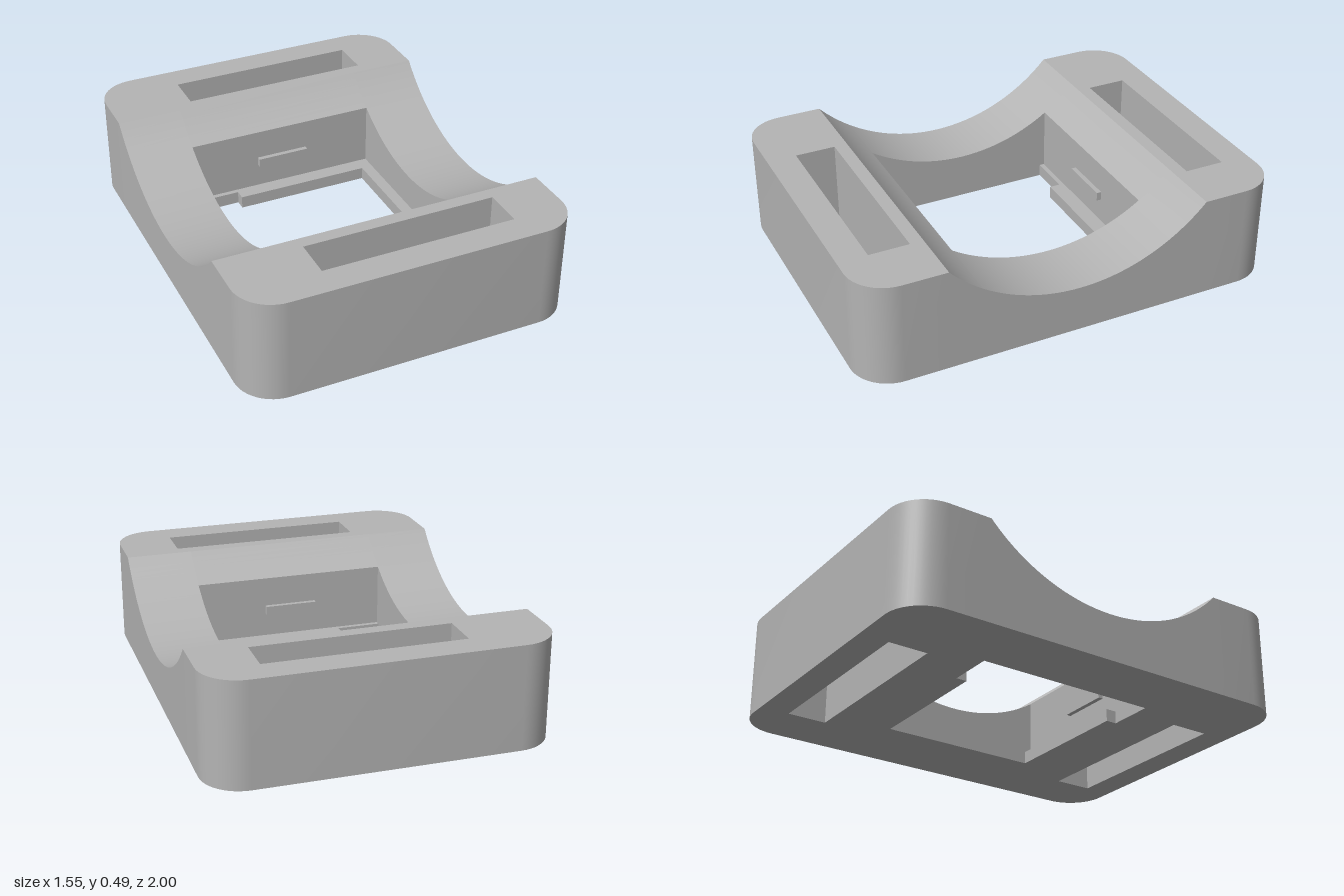
import * as THREE from 'three';
import { mergeGeometries, toCreasedNormals } from 'three/addons/utils/BufferGeometryUtils.js';

// Plan coordinates are (x, s) with s = -z, so counter-clockwise outlines face outwards.
const W = 0.773, L = 1, H = 0.485, CORNER = 0.18;
const SADDLE = 0.613, LOW = 0.22;
const R = (SADDLE ** 2 + (H - LOW) ** 2) / (2 * (H - LOW));
const POCKET = { x0: -0.465, x1: 0.46, s: 0.463 };

const topAt = s => Math.abs(s) >= SADDLE - 1e-6 ? H : LOW + R - Math.sqrt(R * R - s * s);

// Stations across the saddle, shared by every wall that meets it
const stations = [-POCKET.s, POCKET.s];
const sweep = Math.asin(SADDLE / R);
for (let i = 0; i <= 48; i++) stations.push(R * Math.sin(sweep * (i / 24 - 1)));
stations.sort((a, b) => a - b);

const rect = (x0, x1, s0, s1) => [[x0, s0], [x1, s0], [x1, s1], [x0, s1]];

function cornerArc(cx, cs, start) {
  const pts = [];
  for (let i = 0; i <= 12; i++) {
    const a = start + (i / 12) * Math.PI / 2;
    pts.push([cx + CORNER * Math.cos(a), cs + CORNER * Math.sin(a)]);
  }
  return pts;
}

const toVectors = pts => pts.map(p => new THREE.Vector2(p[0], p[1]));

function makeShape(outline, holes = []) {
  const shape = new THREE.Shape(toVectors(outline));
  holes.forEach(h => shape.holes.push(new THREE.Path(toVectors(h))));
  return shape;
}

function cap(outline, holes, y, up) {
  const g = new THREE.ShapeGeometry(makeShape(outline, holes)).toNonIndexed();
  g.deleteAttribute('uv');
  g.deleteAttribute('normal');
  // Turn the underside over by mirroring the plan, which is restored by its own rotation
  if (!up) {
    const p = g.attributes.position;
    for (let i = 0; i < p.count; i++) p.setY(i, -p.getY(i));
    g.rotateX(Math.PI / 2);
    const a = p.array;
    for (let i = 0; i < a.length; i += 9) {
      // keep the triangles facing down
      const ux = a[i + 3] - a[i], uz = a[i + 5] - a[i + 2];
      const vx = a[i + 6] - a[i], vz = a[i + 8] - a[i + 2];
      if (uz * vx - ux * vz > 0) {
        for (let k = 0; k < 3; k++) [a[i + 3 + k], a[i + 6 + k]] = [a[i + 6 + k], a[i + 3 + k]];
      }
    }
  } else g.rotateX(-Math.PI / 2);
  return g.translate(0, y, 0);
}

function quadGeometry(quads) {
  const v = [];
  for (const [a, b, c, d] of quads) v.push(...a, ...b, ...c, ...a, ...c, ...d);
  const g = new THREE.BufferGeometry();
  g.setAttribute('position', new THREE.Float32BufferAttribute(v, 3));
  return g;
}

// Vertical wall from the base up to the saddle height, following a closed outline
function wall(outline) {
  const quads = [];
  outline.forEach((a, i) => {
    const b = outline[(i + 1) % outline.length];
    const ts = stations.map(s => (s - a[1]) / (b[1] - a[1])).filter(t => t > 1e-5 && t < 1 - 1e-5);
    const cuts = [0, ...ts.sort((m, n) => m - n), 1];
    const at = t => [a[0] + (b[0] - a[0]) * t, a[1] + (b[1] - a[1]) * t];
    for (let k = 0; k + 1 < cuts.length; k++) {
      const [px, ps] = at(cuts[k]), [qx, qs] = at(cuts[k + 1]);
      quads.push([[px, 0, -ps], [qx, 0, -qs], [qx, topAt(qs), -qs], [px, topAt(ps), -ps]]);
    }
  });
  return quadGeometry(quads);
}

// Concave top surface, left open over the pocket
function saddle() {
  const quads = [], xs = [-W, POCKET.x0, POCKET.x1, W];
  for (let k = 0; k + 1 < stations.length; k++) {
    const s0 = stations[k], s1 = stations[k + 1], y0 = topAt(s0), y1 = topAt(s1);
    for (let j = 0; j < 3; j++) {
      if (j === 1 && Math.abs((s0 + s1) / 2) < POCKET.s) continue;
      quads.push([[xs[j], y0, -s0], [xs[j + 1], y0, -s0], [xs[j + 1], y1, -s1], [xs[j], y1, -s1]]);
    }
  }
  return quadGeometry(quads);
}

export function createModel() {
  const model = new THREE.Group();
  const grey = new THREE.MeshStandardMaterial({ color: 0xb4b4b4 });
  grey.name = 'grey';
  const add = (name, geometry) => {
    const mesh = new THREE.Mesh(geometry, grey);
    mesh.name = name;
    model.add(mesh);
    return mesh;
  };

  // Body: rounded block with saddle, pocket and two strap slots
  const cx = W - CORNER, cs = L - CORNER, q = Math.PI / 2;
  const farEnd = [...cornerArc(cx, cs, 0), ...cornerArc(-cx, cs, q)];
  const nearEnd = [...cornerArc(-cx, -cs, 2 * q), ...cornerArc(cx, -cs, 3 * q)];
  const outline = [...farEnd, ...nearEnd];
  const farSlot = rect(-0.39, 0.513, 0.675, 0.862);
  const nearSlot = rect(-0.39, 0.513, -0.862, -0.675);
  const pocket = rect(POCKET.x0, POCKET.x1, -POCKET.s, POCKET.s);
  const holes = [farSlot, nearSlot, pocket];
  const body = mergeGeometries([
    wall(outline),
    ...holes.map(h => wall([...h].reverse())),
    saddle(),
    cap([...farEnd, [-W, SADDLE], [W, SADDLE]], [farSlot], H, true),
    cap([...nearEnd, [W, -SADDLE], [-W, -SADDLE]], [nearSlot], H, true),
    cap(outline, holes, 0, false),
  ]);
  add('body', toCreasedNormals(body, 0.5));

  // Stepped ledge around three sides of the pocket floor
  const half = [[POCKET.x0, POCKET.s], [POCKET.x0, 0.44], [-0.25, 0.44], [-0.25, 0.388], [0.405, 0.388]];
  const mirrored = half.map(([x, s]) => [x, -s]).reverse();
  const ledgeShape = makeShape([[POCKET.x1, POCKET.s], ...half, ...mirrored, [POCKET.x1, -POCKET.s]]);
  const ledge = new THREE.ExtrudeGeometry(ledgeShape, { depth: 0.06, bevelEnabled: false });
  add('pocketLedge', ledge.rotateX(-Math.PI / 2));

  // Small retaining ribs on the front and back pocket walls
  for (const [name, side] of [['frontRib', 1], ['backRib', -1]]) {
    const rib = add(name, new THREE.BoxGeometry(0.255, 0.042, 0.023));
    rib.position.set(-0.003, 0.196, side * (POCKET.s - 0.0115));
  }
  return model;
}
